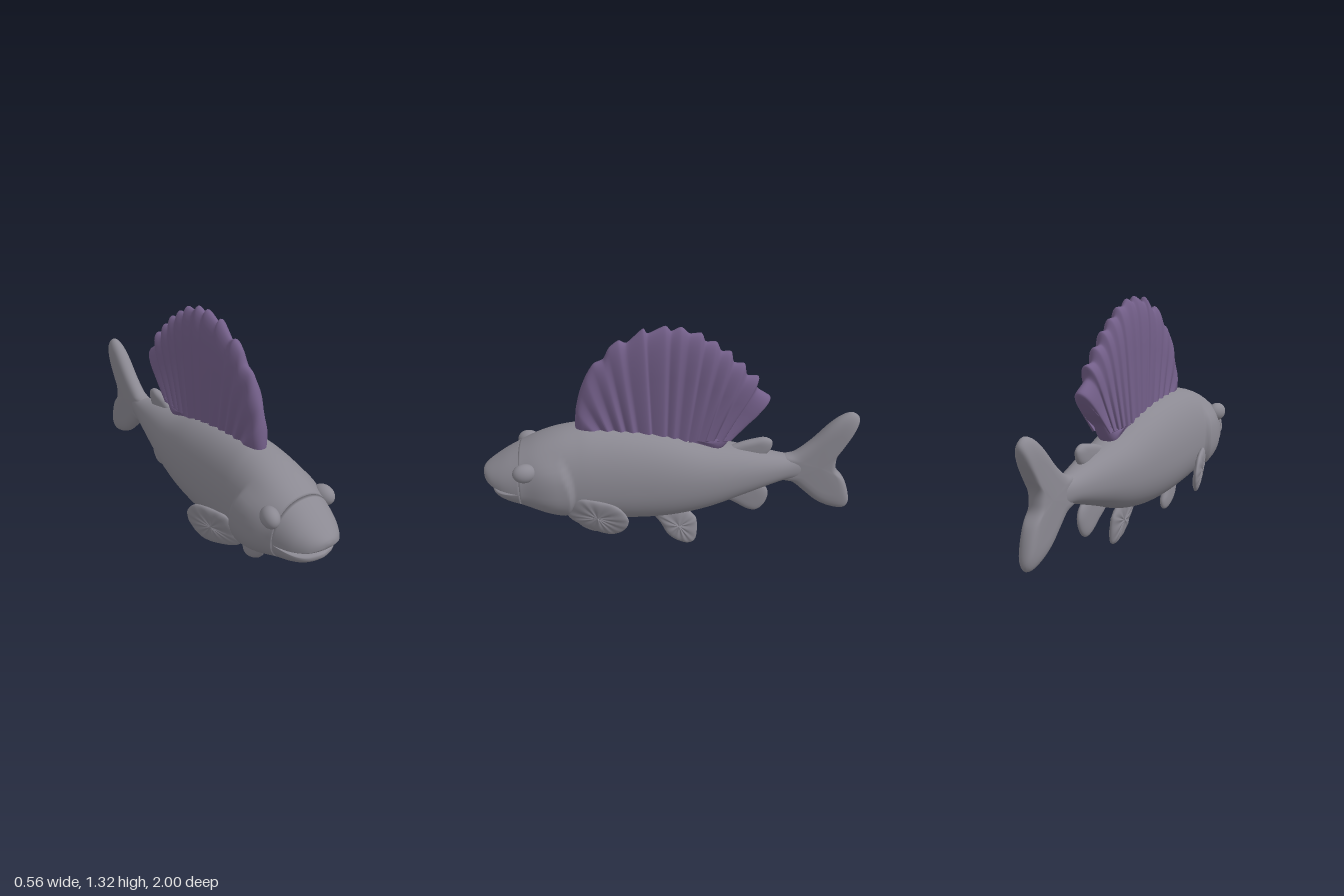
import * as THREE from 'three';

const skin = new THREE.MeshStandardMaterial({ color: 0x8b8992 });
skin.name = 'grey skin';
const sail = new THREE.MeshStandardMaterial({ color: 0x735f89 });
sail.name = 'purple sail';

// Joins closed rings of points into one smooth, capped skin.
function loft(rings) {
  const n = rings[0].length, pos = [], idx = [];
  rings.forEach(r => r.forEach(p => pos.push(p.x, p.y, p.z)));
  const caps = [rings[0], rings[rings.length - 1]].map(r => {
    const c = r.reduce((s, p) => s.add(p), new THREE.Vector3()).divideScalar(n);
    pos.push(c.x, c.y, c.z);
    return pos.length / 3 - 1;
  });
  const last = (rings.length - 1) * n;
  for (let j = 0; j < n; j++) {
    const k = (j + 1) % n;
    for (let i = 0; i < rings.length - 1; i++) {
      const a = i * n + j, b = i * n + k;
      idx.push(a, b, a + n, b, b + n, a + n);
    }
    idx.push(caps[0], k, j, caps[1], last + j, last + k);
  }
  const g = new THREE.BufferGeometry();
  g.setAttribute('position', new THREE.Float32BufferAttribute(pos, 3));
  g.setIndex(idx);
  g.computeVertexNormals();
  return g;
}

// Round trunk from stations [z, top, widest height, bottom, half width].
function trunk(stations, steps, bulge = () => 0) {
  const spline = f => new THREE.CatmullRomCurve3(stations.map(f), false, 'catmullrom', 0.5);
  const heights = spline(s => new THREE.Vector3(s[1], s[2], s[3]));
  const spans = spline(s => new THREE.Vector3(s[0], s[4], 0));
  const round = v => Math.sign(v) * Math.abs(v) ** 0.92;
  const rings = [];
  for (let i = 0; i <= steps; i++) {
    const h = heights.getPoint(i / steps), { x: z, y: w } = spans.getPoint(i / steps);
    rings.push(Array.from({ length: 48 }, (_, j) => {
      const a = j / 48 * Math.PI * 2, c = round(Math.cos(a)), s = round(Math.sin(a));
      const y = h.y + s * (s > 0 ? h.x - h.y : h.y - h.z);
      return new THREE.Vector3(c * (w + bulge(z, y)), y, z);
    }));
  }
  return loft(rings);
}

// Cushioned fin from a [z, y] outline. thick and lean give half thickness and sideways offset.
function fin(outline, { centre, thick, lean = () => 0, spread = 0, full = 0.5, samples = 64, tension = 0.5 }) {
  const curve = new THREE.CatmullRomCurve3(
    outline.map(([z, y]) => new THREE.Vector3(z, y, 0)), true, 'catmullrom', tension);
  const edge = Array.from({ length: samples }, (_, i) => curve.getPoint(i / samples));
  if (THREE.ShapeUtils.area(edge) > 0) edge.reverse();
  const rings = [], layers = 16;
  for (let i = 0; i <= layers; i++) {
    const phi = (i / layers - 0.5) * Math.PI;
    const r = Math.max(Math.cos(phi), 0) ** full;
    rings.push(edge.map((p, j) => {
      const cz = centre[0] + spread * (p.x - centre[0]);
      const z = cz + (p.x - cz) * r, y = centre[1] + (p.y - centre[1]) * r;
      return new THREE.Vector3(lean(z, y) + thick(j / samples) * Math.sin(phi), y, z);
    }));
  }
  return loft(rings);
}

export function createModel() {
  const model = new THREE.Group();
  const add = (name, geometry, material = skin) => {
    const m = new THREE.Mesh(geometry, material);
    m.name = name;
    model.add(m);
    return m;
  };

  // Body, with raised gill covers ending in a curved step
  const gill = (z, y) => {
    const edge = 0.51 + 1.6 * (y - 0.46) ** 2;
    return 0.027 * THREE.MathUtils.smoothstep(z, edge, edge + 0.025)
      * (1 - THREE.MathUtils.smoothstep(z, 0.6, 0.79))
      * (1 - THREE.MathUtils.smoothstep(y, 0.58, 0.68))
      * THREE.MathUtils.smoothstep(y, 0.24, 0.32);
  };
  add('body', trunk([
    [-0.78, 0.51, 0.475, 0.44, 0.015], [-0.7, 0.54, 0.475, 0.405, 0.045], [-0.6, 0.55, 0.47, 0.395, 0.07],
    [-0.4, 0.6, 0.46, 0.325, 0.118], [-0.2, 0.65, 0.45, 0.252, 0.158], [0, 0.715, 0.45, 0.212, 0.184],
    [0.2, 0.755, 0.45, 0.206, 0.195], [0.4, 0.772, 0.46, 0.222, 0.2], [0.5, 0.766, 0.465, 0.236, 0.201],
    [0.6, 0.747, 0.465, 0.257, 0.202], [0.7, 0.712, 0.462, 0.29, 0.198], [0.8, 0.662, 0.46, 0.33, 0.176],
  ], 120, gill));

  // Jaws and mouth
  add('upperJaw', trunk([
    [0.8, 0.662, 0.46, 0.455, 0.176], [0.86, 0.628, 0.464, 0.457, 0.158], [0.91, 0.596, 0.47, 0.46, 0.136],
    [0.96, 0.562, 0.48, 0.468, 0.1], [0.99, 0.538, 0.497, 0.484, 0.055], [1, 0.52, 0.512, 0.504, 0.01],
  ], 24));
  add('lowerJaw', trunk([
    [0.8, 0.465, 0.46, 0.33, 0.176], [0.86, 0.453, 0.444, 0.35, 0.15], [0.91, 0.446, 0.432, 0.372, 0.118],
    [0.945, 0.442, 0.425, 0.394, 0.075], [0.965, 0.434, 0.424, 0.414, 0.012],
  ], 24));
  const mouth = add('mouthLining', new THREE.SphereGeometry(1, 24, 12), sail);
  mouth.scale.set(0.132, 0.03, 0.105);
  mouth.position.set(0, 0.456, 0.81);

  // Paired eyes and pectoral fins
  for (const [side, s] of [['left', 1], ['right', -1]]) {
    const eye = add(side + 'Eye', new THREE.SphereGeometry(1, 24, 16));
    eye.scale.set(0.045, 0.052, 0.062);
    eye.position.set(s * 0.162, 0.59, 0.765);
    eye.rotation.y = s * 0.2;
    add(side + 'PectoralFin', fin([
      [0.56, 0.34], [0.5, 0.43], [0.42, 0.445], [0.3, 0.43], [0.24, 0.36], [0.25, 0.29],
      [0.3, 0.24], [0.36, 0.225], [0.46, 0.25], [0.54, 0.29],
    ], {
      centre: [0.4, 0.34], thick: t => 0.022 + 0.002 * Math.cos(t * 75),
      lean: (z, y) => s * (0.18 + (0.52 - z) * 0.31 + (y - 0.33) * 0.1),
    }));
  }

  // Fins along the belly and rear back
  add('frontBellyFin', fin([
    [0.56, 0.26], [0.54, 0.17], [0.5, 0.105], [0.43, 0.066], [0.38, 0.07], [0.366, 0.115], [0.4, 0.18], [0.43, 0.26],
  ], { centre: [0.46, 0.16], thick: () => 0.024, lean: (z, y) => 0.004 - (0.2 - y) * 0.03 }));
  add('rearBellyFin', fin([
    [0.11, 0.24], [0.06, 0.14], [0.02, 0.065], [-0.04, 0.02], [-0.1, 0.006], [-0.135, 0.04],
    [-0.14, 0.14], [-0.12, 0.19], [-0.05, 0.24],
  ], { centre: [-0.04, 0.13], thick: t => 0.024 + 0.002 * Math.cos(t * 63), lean: (z, y) => 0.055 - (y - 0.02) * 0.1 }));
  add('analFin', fin([
    [-0.27, 0.31], [-0.36, 0.235], [-0.43, 0.19], [-0.48, 0.186], [-0.52, 0.23], [-0.535, 0.3], [-0.5, 0.36], [-0.4, 0.4],
  ], { centre: [-0.42, 0.29], thick: () => 0.024 }));
  add('smallBackFin', fin([
    [-0.27, 0.59], [-0.36, 0.632], [-0.44, 0.654], [-0.5, 0.662], [-0.54, 0.635], [-0.525, 0.575], [-0.46, 0.53], [-0.35, 0.55],
  ], { centre: [-0.44, 0.6], thick: () => 0.027 }));

  // Forked tail
  add('tailFin', fin([
    [-0.58, 0.53], [-0.66, 0.56], [-0.75, 0.635], [-0.84, 0.735], [-0.9, 0.785], [-0.955, 0.803], [-0.995, 0.77],
    [-0.985, 0.71], [-0.94, 0.62], [-0.902, 0.55], [-0.895, 0.49], [-0.905, 0.44], [-0.95, 0.38], [-0.98, 0.3],
    [-0.992, 0.22], [-0.96, 0.183], [-0.88, 0.2], [-0.8, 0.245], [-0.72, 0.32], [-0.66, 0.375], [-0.58, 0.41],
  ], { centre: [-0.81, 0.48], thick: () => 0.046, full: 0.3, samples: 105 }));

  // Tall ribbed sail with a scalloped edge
  add('sailFin', fin([
    [0.49, 0.7], [0.5, 0.78], [0.49, 0.88], [0.465, 0.98], [0.43, 1.065], [0.39, 1.13], [0.34, 1.155], [0.31, 1.215],
    [0.26, 1.255], [0.22, 1.243], [0.14, 1.315], [0.115, 1.29], [0.03, 1.328], [0, 1.3], [-0.05, 1.32],
    [-0.09, 1.285], [-0.15, 1.285], [-0.17, 1.24], [-0.225, 1.235], [-0.25, 1.185], [-0.3, 1.18], [-0.315, 1.12],
    [-0.37, 1.11], [-0.385, 1.045], [-0.445, 1.035], [-0.44, 0.97], [-0.51, 0.915], [-0.49, 0.87], [-0.43, 0.8],
    [-0.35, 0.73], [-0.28, 0.63], [-0.2, 0.58], [0.1, 0.65], [0.4, 0.68],
  ], {
    centre: [0.06, 0.68], spread: 0.65, full: 0.3, samples: 204, tension: 0.35,
    thick: t => 0.048 + 0.005 * Math.cos(t * Math.PI * 34),
  }), sail);

  return model;
}
